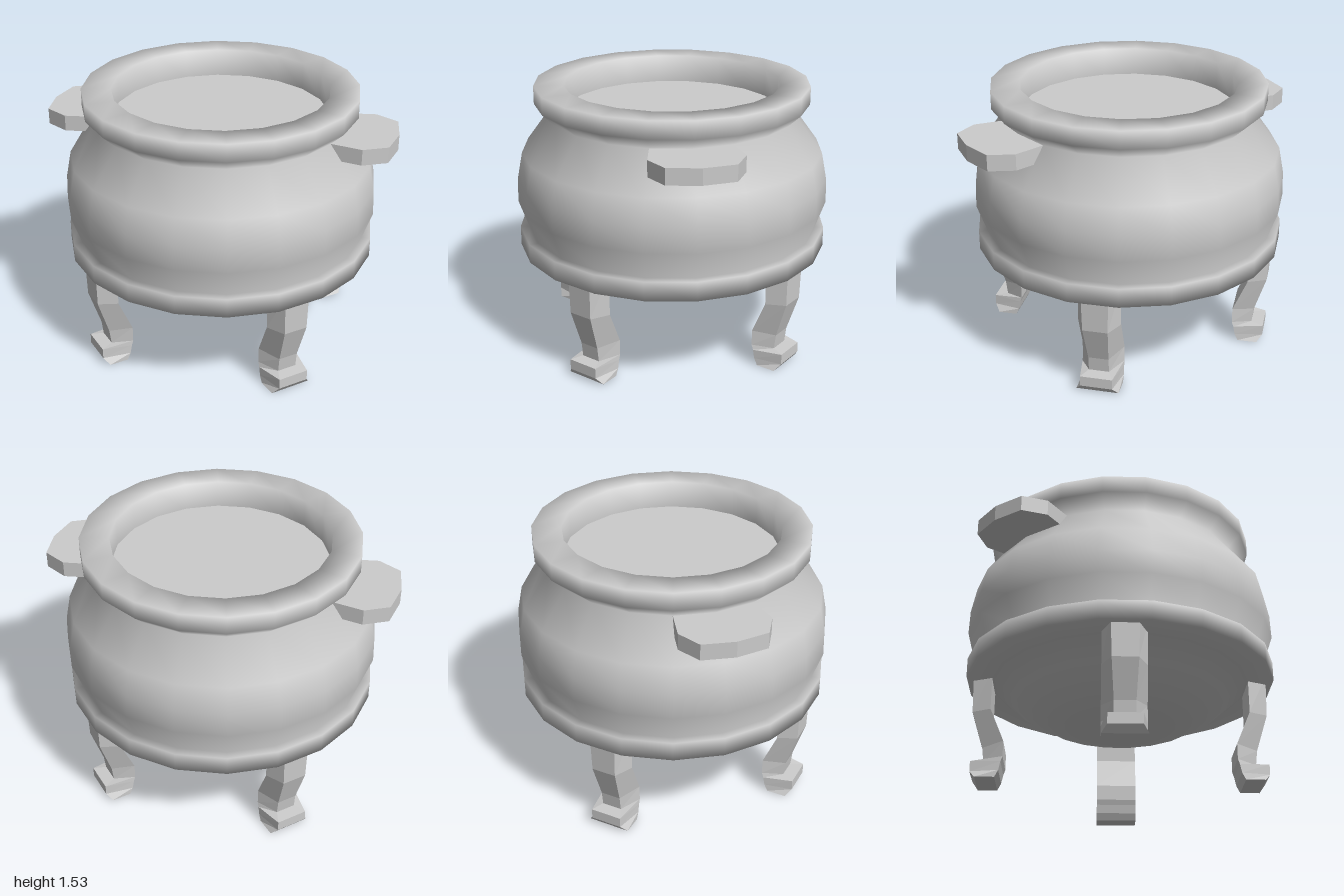
import * as THREE from 'three';

const SIDES = 20;
const material = new THREE.MeshStandardMaterial({ color: 0xcccccc });
const flatMaterial = new THREE.MeshStandardMaterial({ color: 0xcccccc, flatShading: true });

function addMesh(parent, name, geometry, mat) {
  const mesh = new THREE.Mesh(geometry, mat);
  mesh.name = name;
  parent.add(mesh);
  return mesh;
}

// Leg cross-sections, top to bottom: inner radius, y; outer radius, y, half width
const LEG = [
  [0.73, 0.64, 0.84, 0.64, 0.075],
  [0.73, 0.40, 0.835, 0.40, 0.07],
  [0.65, 0.21, 0.77, 0.19, 0.057],
  [0.65, 0.12, 0.76, 0.105, 0.057],
  [0.66, 0.09, 0.83, 0.10, 0.09],
  [0.67, 0.04, 0.83, 0.04, 0.09],
  [0.69, 0.00, 0.80, 0.00, 0.12],
];

// Trapezoid leg pointing along +x, wider on the inside
function legGeometry() {
  const innerHalf = 0.12;
  const positions = [];
  const index = [];
  for (const [ri, yi, ro, yo, w] of LEG) {
    positions.push(ri, yi, innerHalf, ro, yo, w, ro, yo, -w, ri, yi, -innerHalf);
  }
  for (let s = 0; s < LEG.length - 1; s++) {
    for (let k = 0; k < 4; k++) {
      const a = s * 4 + k;
      const b = s * 4 + (k + 1) % 4;
      index.push(a, a + 4, b, b, a + 4, b + 4);
    }
  }
  const e = (LEG.length - 1) * 4;
  index.push(0, 1, 2, 0, 2, 3);
  index.push(e, e + 2, e + 1, e, e + 3, e + 2);
  const geometry = new THREE.BufferGeometry();
  geometry.setAttribute('position', new THREE.Float32BufferAttribute(positions, 3));
  geometry.setIndex(index);
  geometry.computeVertexNormals();
  return geometry;
}

// Faceted slab handle pointing along +x
function handleGeometry() {
  const outline = [
    [0.62, -0.21], [0.73, -0.23], [0.84, -0.25], [0.97, -0.18], [1.0, 0],
    [0.97, 0.18], [0.84, 0.25], [0.73, 0.23], [0.62, 0.21],
  ].map(([x, z]) => new THREE.Vector2(x, z));
  const geometry = new THREE.ExtrudeGeometry(new THREE.Shape(outline), { depth: 0.09, bevelEnabled: false });
  return geometry.rotateX(-Math.PI / 2).translate(0, 1.27, 0);
}

export function createModel() {
  const model = new THREE.Group();
  model.name = 'cauldron';

  // Pot: rounded bottom, base band, belly, neck and rolled rim
  const profile = [
    [0, 0.32], [0.3, 0.345], [0.45, 0.385], [0.62, 0.49], [0.73, 0.59],
    [0.885, 0.59], [0.885, 0.70], [0.835, 0.70],
    [0.89, 0.86], [0.885, 1.0], [0.855, 1.15], [0.70, 1.36],
    [0.775, 1.43], [0.775, 1.53], [0.61, 1.53], [0.61, 1.36],
  ].map(([r, y]) => new THREE.Vector2(r, y));
  addMesh(model, 'pot', new THREE.LatheGeometry(profile, SIDES), material);

  // Flat surface of the contents
  const contents = new THREE.CircleGeometry(0.61, SIDES).rotateX(-Math.PI / 2);
  addMesh(model, 'contents', contents, material).position.y = 1.37;

  // Side handles
  const handle = handleGeometry();
  addMesh(model, 'leftHandle', handle, flatMaterial);
  addMesh(model, 'rightHandle', handle, flatMaterial).rotation.y = Math.PI;

  // Four legs on the diagonals
  const leg = legGeometry();
  ['backLeftLeg', 'backRightLeg', 'frontRightLeg', 'frontLeftLeg'].forEach((name, i) => {
    addMesh(model, name, leg, flatMaterial).rotation.y = Math.PI / 4 + i * Math.PI / 2;
  });

  return model;
}
